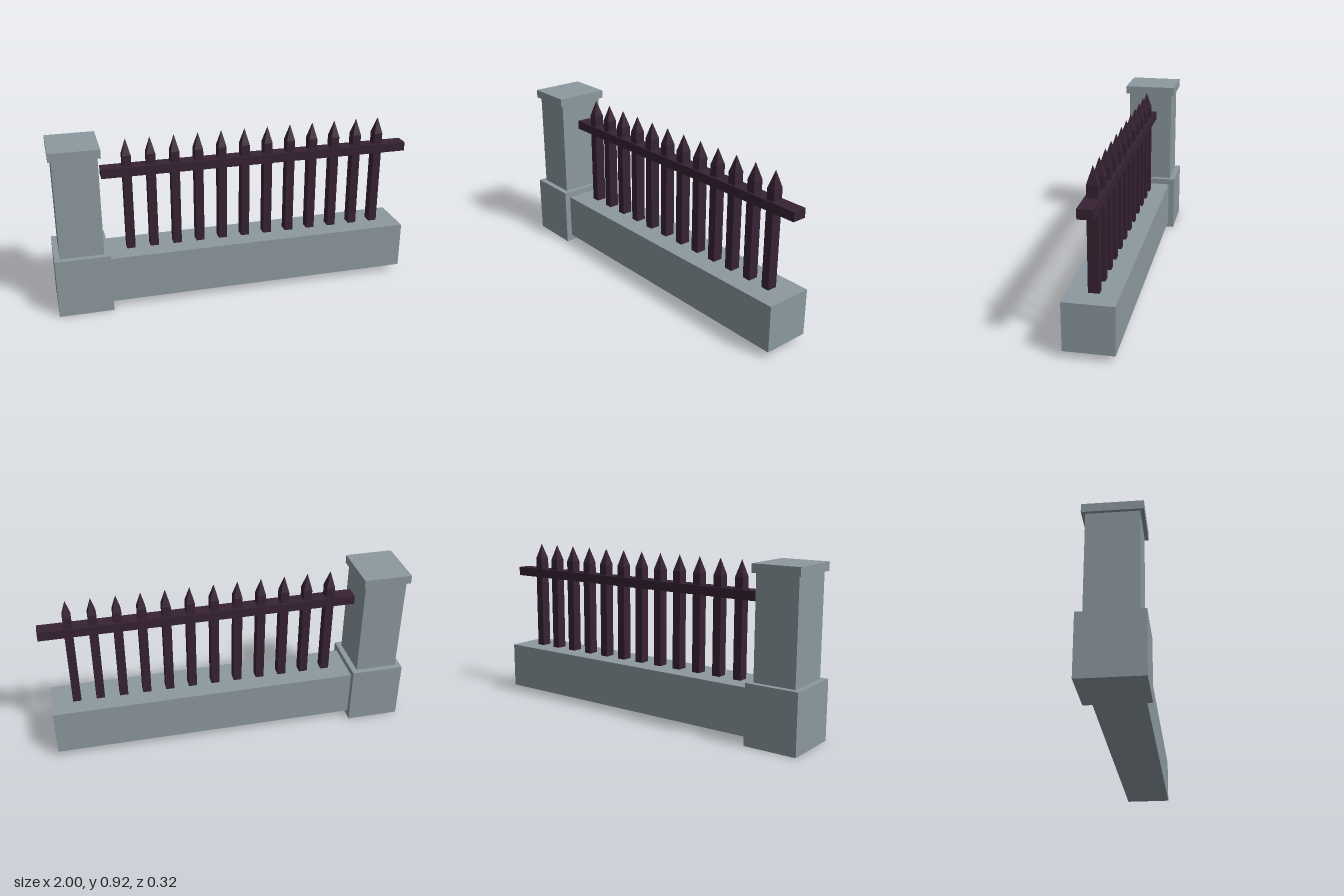
import * as THREE from 'three';

export function createModel() {
  const model = new THREE.Group();
  model.name = 'fenceSection';

  const stone = new THREE.MeshStandardMaterial({ color: 0x8c999f });
  stone.name = 'grey stone';
  const iron = new THREE.MeshStandardMaterial({ color: 0x372234 });
  iron.name = 'dark iron';

  // Box given by its x and y ranges, depth and z centre
  function block(name, material, x0, x1, y0, y1, depth, z = 0, parent = model) {
    const mesh = new THREE.Mesh(new THREE.BoxGeometry(x1 - x0, y1 - y0, depth), material);
    mesh.position.set((x0 + x1) / 2, (y0 + y1) / 2, z);
    mesh.name = name;
    parent.add(mesh);
  }

  // Stone pillar
  const pillar = new THREE.Group();
  pillar.name = 'pillar';
  model.add(pillar);
  block('pillarBase', stone, -1, -0.708, 0, 0.327, 0.325, 0, pillar);
  block('pillarShaft', stone, -0.97, -0.738, 0.327, 0.874, 0.262, 0, pillar);
  block('pillarCap', stone, -0.986, -0.723, 0.874, 0.92, 0.3, 0, pillar);

  // Low wall and iron rail
  block('wall', stone, -0.708, 0.978, 0.036, 0.293, 0.258);
  block('rail', iron, -0.718, 1, 0.717, 0.767, 0.078, -0.002);

  // Pickets with four-sided spear tips
  const width = 0.046, depth = 0.056, shoulder = 0.828, top = 0.917;
  const tipGeometry = new THREE.ConeGeometry(Math.SQRT1_2, top - shoulder, 4, 1, true)
    .rotateY(Math.PI / 4)
    .scale(width, 1, depth)
    .toNonIndexed();
  tipGeometry.computeVertexNormals();

  const count = 12;
  for (let i = 0; i < count; i++) {
    const picket = new THREE.Group();
    picket.name = 'picket';
    picket.position.set(-0.58 + i * 0.1291, 0, -0.002);
    block('picketBar', iron, -width / 2, width / 2, 0.293, shoulder, depth, 0, picket);
    const tip = new THREE.Mesh(tipGeometry, iron);
    tip.name = 'picketTip';
    tip.position.y = (shoulder + top) / 2;
    picket.add(tip);
    model.add(picket);
  }

  return model;
}
